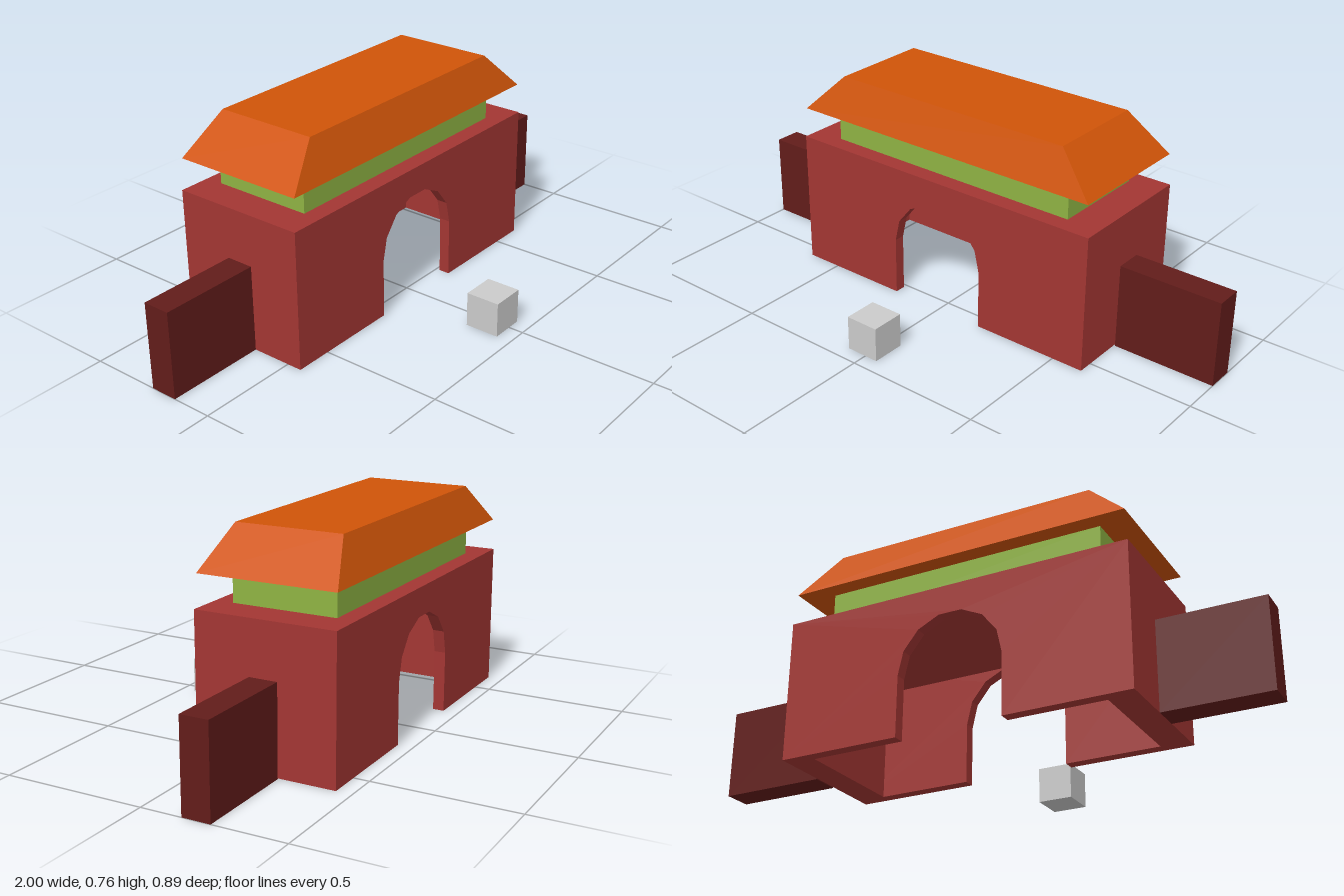
import * as THREE from 'three';

const paint = (color) => new THREE.MeshStandardMaterial({ color, flatShading: true });

// Box given by its minimum and maximum corners
function block(name, material, [x0, y0, z0], [x1, y1, z1]) {
  const geometry = new THREE.BoxGeometry(x1 - x0, y1 - y0, z1 - z0);
  geometry.translate((x0 + x1) / 2, (y0 + y1) / 2, (z0 + z1) / 2);
  const mesh = new THREE.Mesh(geometry, material);
  mesh.name = name;
  return mesh;
}

export function createModel() {
  const group = new THREE.Group();
  const red = paint(0xa33633);
  const darkRed = paint(0x621c1a);
  const green = paint(0x8fb343);
  const orange = paint(0xd05408);
  const grey = paint(0xcccccc);

  // Hollow gatehouse, open underneath: thin front and back, thick ends and ceiling
  const x0 = -0.635, x1 = 0.617, z0 = -0.445, z1 = 0.055, top = 0.502;
  const wall = 0.04, thick = 0.1;
  const gatehouse = new THREE.Group();
  gatehouse.name = 'gatehouse';
  group.add(gatehouse);

  // Front and back walls with a faceted arch
  const cx = -0.01, r = 0.19, spring = 0.215, steps = 7;
  const outline = [[x0, 0], [cx - r, 0]];
  for (let i = 0; i <= steps; i++) {
    const a = Math.PI * (1 - i / steps);
    outline.push([cx + r * Math.cos(a), spring + r * Math.sin(a)]);
  }
  outline.push([cx + r, 0], [x1, 0], [x1, top], [x0, top]);
  const shape = new THREE.Shape(outline.map(([x, y]) => new THREE.Vector2(x, y)));
  const wallGeometry = new THREE.ExtrudeGeometry(shape, { depth: wall, bevelEnabled: false });
  for (const [name, z] of [['frontWall', z1 - wall], ['backWall', z0]]) {
    const mesh = new THREE.Mesh(wallGeometry, red);
    mesh.name = name;
    mesh.position.z = z;
    gatehouse.add(mesh);
  }

  // End walls and ceiling slab
  gatehouse.add(
    block('rightEndWall', red, [x0, 0, z0 + wall], [x0 + thick, top, z1 - wall]),
    block('leftEndWall', red, [x1 - thick, 0, z0 + wall], [x1, top, z1 - wall]),
    block('ceiling', red, [x0 + thick, top - thick, z0 + wall], [x1 - thick, top, z1 - wall])
  );

  // Side walls, upper storey and the loose block in front
  group.add(
    block('rightSideWall', darkRed, [-1, 0, -0.245], [-0.635, 0.315, -0.145]),
    block('leftSideWall', darkRed, [0.622, 0, -0.245], [1, 0.315, -0.145]),
    block('upperStorey', green, [-0.518, top, -0.381], [0.493, 0.615, -0.01]),
    block('looseBlock', grey, [-0.075, 0, 0.32], [0.05, 0.126, 0.445])
  );

  // Roof: a box whose top corners are drawn inwards
  const roof = block('roof', orange, [-0.627, 0.615, -0.442], [0.607, 0.757, 0.051]);
  const p = roof.geometry.attributes.position;
  for (let i = 0; i < p.count; i++) {
    if (p.getY(i) < 0.7) continue;
    p.setX(i, p.getX(i) < 0 ? -0.485 : 0.465);
    p.setZ(i, p.getZ(i) < -0.2 ? -0.386 : -0.005);
  }
  roof.geometry.computeVertexNormals();
  group.add(roof);

  return group;
}
